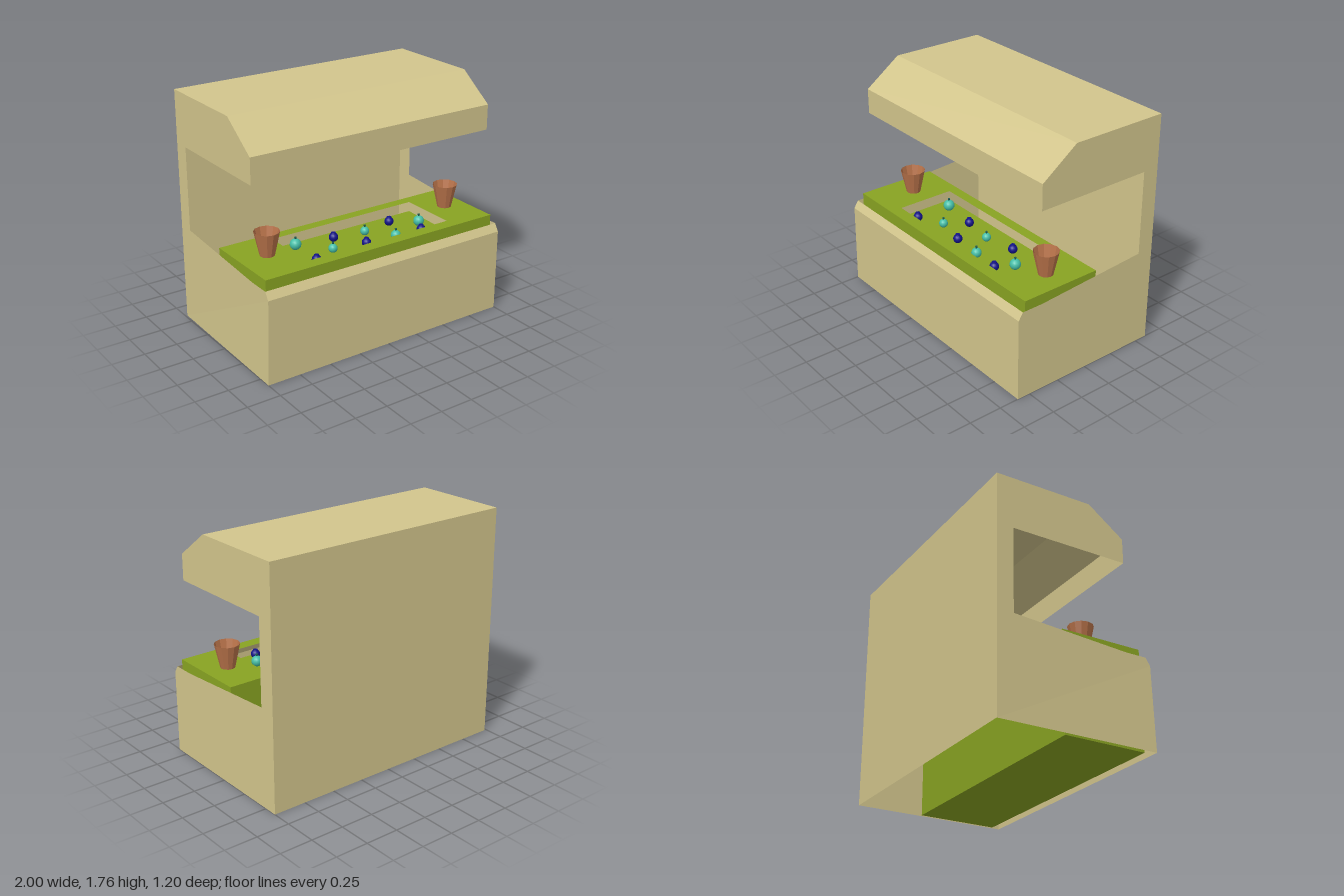
import * as THREE from 'three';

const mat = (color, side = THREE.FrontSide, flatShading = false) =>
  new THREE.MeshStandardMaterial({ color, side, flatShading });

export function createModel() {
  const model = new THREE.Group();
  const cream = mat(0xd2c58c, THREE.DoubleSide);
  const green = mat(0x88a322);
  const clay = mat(0xb9734a, THREE.DoubleSide, true);
  const teal = mat(0x45bfa8), blue = mat(0x12128a), stemMat = mat(0x1f5f55);

  const add = (parent, name, geo, material, x = 0, y = 0, z = 0) => {
    const mesh = new THREE.Mesh(geo, material);
    mesh.name = name;
    mesh.position.set(x, y, z);
    parent.add(mesh);
    return mesh;
  };

  // Stall shell: thin sheets following one side profile, given as [z, y]
  const right = -0.985, left = 1;
  const profile = [
    [0.6, 0], [0.6, 0.625], [0.565, 0.68], [0.4, 0.68], [-0.475, 0.74], [-0.475, 1.37],
    [0.42, 1.37], [0.42, 1.56], [0.145, 1.76], [-0.6, 1.76], [-0.6, 0],
  ];
  // The front bottom corner on the right flares out slightly
  const flare = (x, y, z) => (x < 0 && y < 0.01 && z > 0.59 ? -1 : x);

  const sheet = (name, i) => {
    const [z0, y0] = profile[i], [z1, y1] = profile[i + 1];
    const a = [flare(right, y0, z0), y0, z0], b = [left, y0, z0];
    const c = [left, y1, z1], d = [right, y1, z1];
    const geo = new THREE.BufferGeometry();
    geo.setAttribute('position', new THREE.Float32BufferAttribute([a, b, c, a, c, d].flat(), 3));
    geo.computeVertexNormals();
    add(model, name, geo, cream);
  };
  sheet('counterFront', 0);
  sheet('counterBevel', 1);
  sheet('canopyFront', 6);
  sheet('canopySlope', 7);
  sheet('canopyTop', 8);
  sheet('backWall', 9);

  for (const [name, x] of [['rightSide', right], ['leftSide', left]]) {
    const shape = new THREE.Shape(profile.map(([z, y]) => new THREE.Vector2(z, y)));
    const geo = new THREE.ShapeGeometry(shape).rotateY(-Math.PI / 2).translate(x, 0, 0).toNonIndexed();
    const p = geo.attributes.position;
    for (let i = 0; i < p.count; i++) p.setX(i, flare(p.getX(i), p.getY(i), p.getZ(i)));
    geo.computeVertexNormals();
    add(model, name, geo, cream);
  }

  // Counter block with a rectangular display recess
  const rect = (Type, x0, x1, z0, z1) => new Type([[x0, z0], [x1, z0], [x1, z1], [x0, z1]]
    .map(([x, z]) => new THREE.Vector2(x, -z)));
  const top = 0.74, floor = 0.665;
  const outline = rect(THREE.Shape, -0.96, 0.98, -0.09, 0.53);
  outline.holes.push(rect(THREE.Path, -0.58, 0.64, -0.01, 0.435));
  add(model, 'counterBlock',
    new THREE.ExtrudeGeometry(outline, { depth: top, bevelEnabled: false }).rotateX(-Math.PI / 2), green);
  add(model, 'displayFloor', new THREE.BoxGeometry(1.22, floor, 0.445), green, 0.03, floor / 2, 0.2125);

  // Open clay pots at both ends of the counter
  for (const [name, x] of [['rightPot', -0.75], ['leftPot', 0.805]]) {
    const pot = new THREE.LatheGeometry([[0, 0.004], [0.053, 0.004], [0.092, 0.182]]
      .map(([r, y]) => new THREE.Vector2(r, y)), 12);
    add(model, name, pot, clay, x, top, 0.205);
  }

  // Fruit in the recess: [x, z, radius]
  const fruit = (name, material, [x, z, r]) => {
    const group = new THREE.Group();
    group.name = name;
    group.position.set(x, floor, z);
    add(group, 'body', new THREE.SphereGeometry(r, 14, 10), material, 0, r * 0.95, 0);
    if (material === teal) {
      add(group, 'stem', new THREE.CylinderGeometry(0.009, 0.005, 0.02, 6), stemMat, 0, r * 1.95 + 0.004, 0);
    } else {
      add(group, 'crown', new THREE.CylinderGeometry(r * 0.5, r * 0.6, 0.012, 8), material, 0, r * 1.85, 0);
    }
    model.add(group);
  };
  [[-0.45, 0.09, 0.042], [-0.26, 0.28, 0.033], [0.1, 0.16, 0.033], [0.235, 0.355, 0.037], [0.53, 0.245, 0.04]]
    .forEach((f) => fruit('tealFruit', teal, f));
  [[-0.457, 0.37, 0.034], [-0.01, 0.335, 0.034], [-0.15, 0.125, 0.034], [0.35, 0.12, 0.034], [0.455, 0.37, 0.034]]
    .forEach((f) => fruit('blueFruit', blue, f));

  return model;
}
